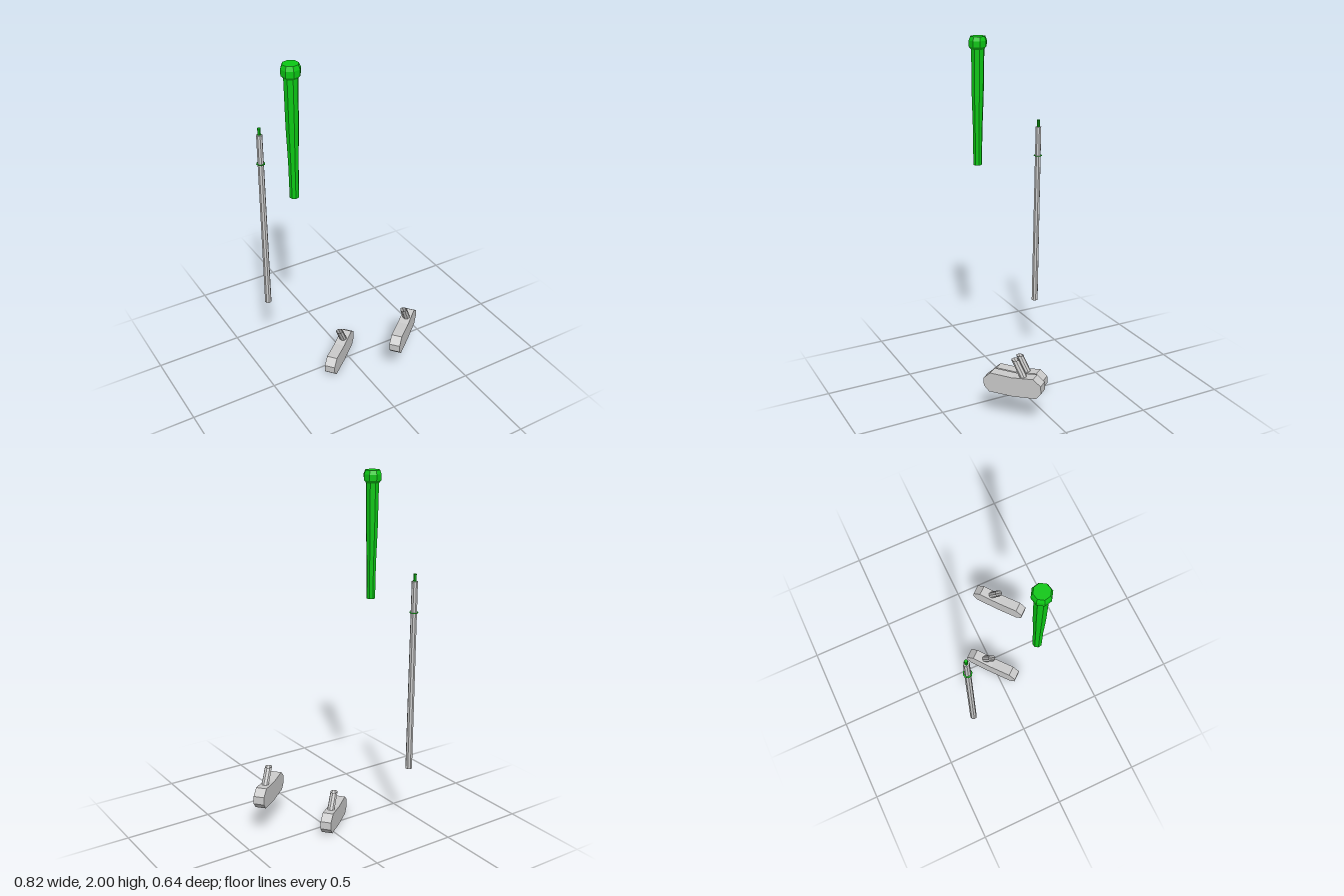
import * as THREE from 'three';

const grey = () => new THREE.MeshStandardMaterial({ color: 0xcccccc, flatShading: true });
const green = () => new THREE.MeshStandardMaterial({ color: 0x0cc814, flatShading: true });

function part(name, geometry, material) {
  const mesh = new THREE.Mesh(geometry, material);
  mesh.name = name;
  return mesh;
}

// Slants a vertical solid: x and z drift with height, level ends stay level
function lean(geometry, dx, dz) {
  return geometry.applyMatrix4(new THREE.Matrix4().set(
    1, dx, 0, 0,
    0, 1, 0, 0,
    0, dz, 1, 0,
    0, 0, 0, 1));
}

// Eight-sided turned solid from [radius, height] pairs, bottom to top
function turned(profile) {
  return new THREE.LatheGeometry(profile.map(([r, y]) => new THREE.Vector2(r, y)), 8, -0.18);
}

// Club head: smile-shaped block with chamfered ends and a slanted open socket
function clubHead(name, x, y, z) {
  const group = new THREE.Group();
  group.name = name;
  const outline = [
    [-0.137, -0.055], [0, -0.063], [0.137, -0.055], [0.167, -0.022],
    [0.167, 0.022], [0.125, 0.058], [0, 0.049], [-0.125, 0.058],
    [-0.167, 0.022], [-0.167, -0.022],
  ];
  const shape = new THREE.Shape(outline.map(([u, v]) => new THREE.Vector2(u, v)));
  const block = new THREE.ExtrudeGeometry(shape, { depth: 0.061, bevelEnabled: false });
  block.translate(0, 0, -0.0305);
  block.rotateZ(0.045);
  block.rotateY(0.69);
  group.add(part('headBlock', block, grey()));

  const tube = new THREE.CylinderGeometry(0.021, 0.021, 0.11, 8, 1, true);
  tube.rotateY(-0.18);
  tube.translate(0, -0.055, 0);
  lean(tube, -0.45, 0.31);
  tube.translate(0.003, 0.145, -0.005);
  const material = grey();
  material.side = THREE.DoubleSide;
  group.add(part('socket', tube, material));

  group.position.set(x, y, z);
  return group;
}

export function createModel() {
  const model = new THREE.Group();
  model.name = 'explodedClub';

  // Grip with a bevelled end knob
  const grip = turned([
    [0, 1.285], [0.025, 1.285], [0.027, 1.48], [0.034, 1.68],
    [0.037, 1.93], [0.05, 1.945], [0.051, 1.978], [0.042, 2], [0, 2],
  ]);
  grip.translate(0, -2, 0);
  lean(grip, 0.011, -0.013);
  grip.translate(-0.362, 2, 0.079);
  model.add(part('grip', grip, green()));

  // Shaft with its thin tip and a flat collar
  const shaft = new THREE.Group();
  shaft.name = 'shaftAssembly';
  const shaftParts = [
    ['shaft', turned([[0, 0.38], [0.019, 0.38], [0.017, 1.46], [0, 1.46]]), grey()],
    ['shaftTip', turned([[0.009, 1.455], [0.009, 1.5], [0, 1.5]]), green()],
    ['collar', turned([[0.016, 1.289], [0.025, 1.289], [0.025, 1.291], [0.016, 1.291]]), green()],
  ];
  for (const [name, geometry, material] of shaftParts) {
    lean(geometry, 0.0085, -0.0135);
    shaft.add(part(name, geometry, material));
  }
  shaft.position.set(-0.379, 0, -0.279);
  model.add(shaft);

  // Two matching heads
  model.add(clubHead('lowerHead', -0.057, 0.065, -0.007));
  model.add(clubHead('upperHead', 0.26, 0.23, 0.187));
  return model;
}
